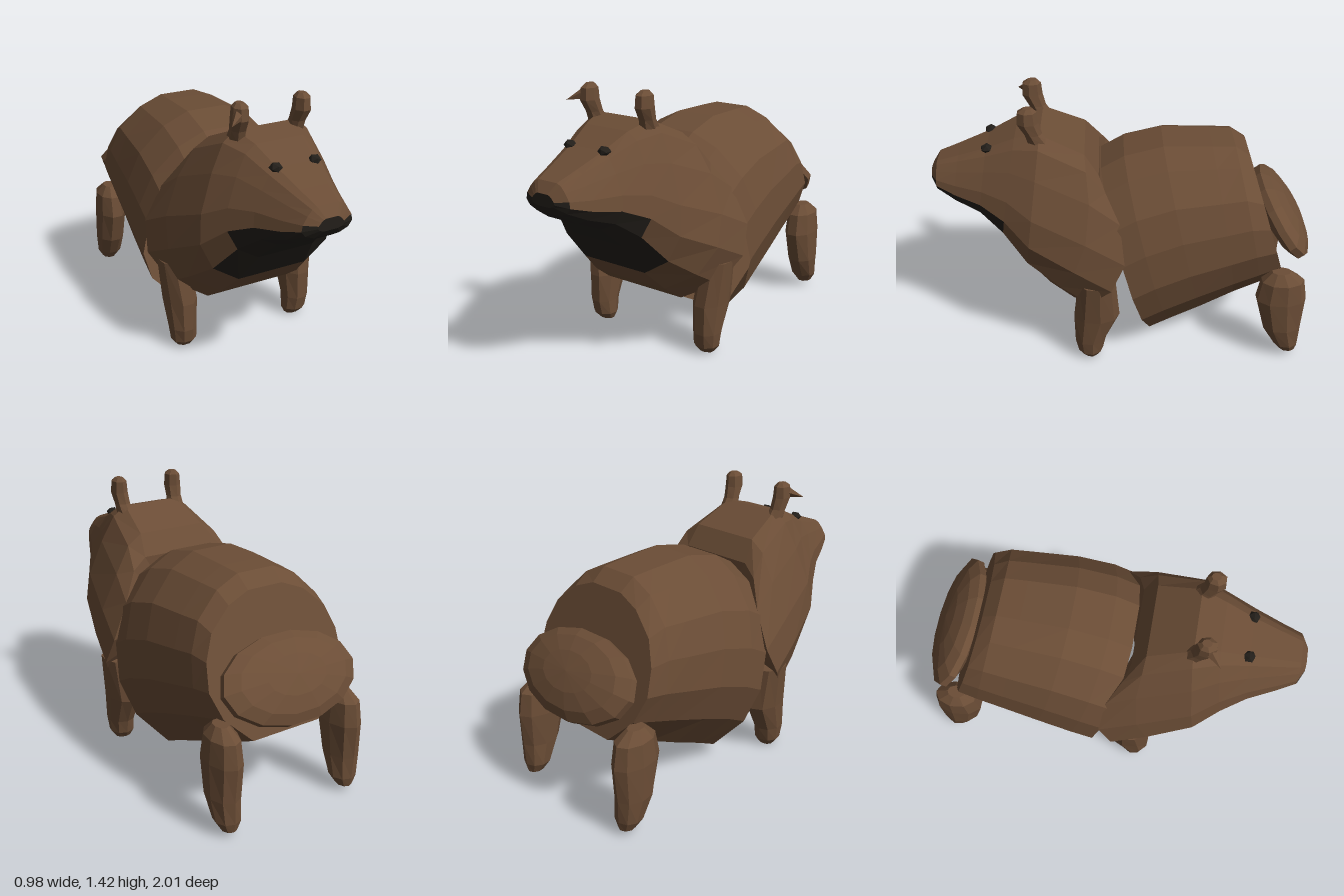
import * as THREE from 'three';

const brown = new THREE.MeshStandardMaterial({ color: 0x6b4d36, side: THREE.DoubleSide });
brown.name = 'brown fur';
const dark = new THREE.MeshStandardMaterial({ color: 0x231f1a, side: THREE.DoubleSide });
dark.name = 'dark muzzle';

function flat(geometry) {
  const g = geometry.index ? geometry.toNonIndexed() : geometry;
  g.computeVertexNormals();
  return g;
}

function addMesh(parent, name, geometry, material) {
  const mesh = new THREE.Mesh(geometry, material);
  mesh.name = name;
  parent.add(mesh);
  return mesh;
}

// Faceted skin over a list of closed loops; keep(i, j) selects the faces
function loft(rings, { start = true, end = true, keep = () => true } = {}) {
  const n = rings[0].length;
  const pos = [];
  const tri = (...pts) => pts.forEach((p) => pos.push(p.x, p.y, p.z));
  const centre = (ring) => ring.reduce((s, p) => s.add(p), new THREE.Vector3()).divideScalar(n);
  for (let i = 0; i < rings.length - 1; i++) {
    for (let j = 0; j < n; j++) {
      if (!keep(i, j)) continue;
      const k = (j + 1) % n;
      const [a, b, c, d] = [rings[i][j], rings[i][k], rings[i + 1][k], rings[i + 1][j]];
      tri(a, b, d);
      tri(b, c, d);
    }
  }
  const first = rings[0], last = rings[rings.length - 1];
  for (let j = 0; j < n; j++) {
    const k = (j + 1) % n;
    if (start) tri(centre(first), first[k], first[j]);
    if (end) tri(centre(last), last[j], last[k]);
  }
  const g = new THREE.BufferGeometry();
  g.setAttribute('position', new THREE.Float32BufferAttribute(pos, 3));
  return flat(g);
}

// Mirrored cross-section, slung between a top and a bottom point
function section(half, [topZ, topY, botZ, botY, w, bulge = 0]) {
  const full = [...half, ...half.slice(1, -1).reverse().map(([t, x]) => [t, -x])];
  return full.map(([t, x]) => new THREE.Vector3(
    x * w,
    THREE.MathUtils.lerp(topY, botY, t),
    THREE.MathUtils.lerp(topZ, botZ, t) - bulge * Math.sin(Math.PI * t)
  ));
}

// Limb from stacked ellipses: [y, centre x, centre z, radius x, radius z]
function limb(rows, sides = 9) {
  return loft(rows.map(([y, cx, cz, rx, rz]) => Array.from({ length: sides }, (_, k) => {
    const a = (k / sides) * Math.PI * 2;
    return new THREE.Vector3(cx + rx * Math.sin(a), y, cz - rz * Math.cos(a));
  })));
}

const mirrorRows = (rows, s) => rows.map(([y, x, ...rest]) => [y, x * s, ...rest]);

export function createModel() {
  const model = new THREE.Group();
  model.name = 'animal';

  // Barrel body, open at the front, closed behind the tail
  const bodyHalf = [[0, 0], [0, 0.25], [0.07, 0.55], [0.22, 0.84], [0.4, 0.97], [0.6, 1], [0.8, 0.86], [1, 0.5], [1, 0]];
  const bodyRings = [
    [0.12, 1.05, -0.14, 0.08, 0.47],
    [0, 1.12, -0.25, 0.14, 0.47],
    [-0.2, 1.17, -0.42, 0.22, 0.455],
    [-0.45, 1.165, -0.6, 0.31, 0.43],
    [-0.57, 1.16, -0.74, 0.37, 0.415],
    [-0.65, 1.1, -0.86, 0.43, 0.395],
  ].map((r) => section(bodyHalf, r));
  addMesh(model, 'body', loft(bodyRings, { start: false }), brown);

  // Head and shoulders, from the snout back to the shoulder rim
  const headHalf = [[0, 0], [0, 0.42], [0.07, 0.6], [0.25, 0.78], [0.5, 0.96], [0.7, 1], [0.88, 0.85], [1, 0.5], [1, 0]];
  const headRings = [
    [1.0, 1.02, 1.0, 0.96, 0.07],
    [0.965, 1.07, 0.97, 0.92, 0.135],
    [0.85, 1.11, 0.88, 0.86, 0.18],
    [0.7, 1.165, 0.75, 0.8, 0.24],
    [0.55, 1.235, 0.64, 0.69, 0.31],
    [0.42, 1.27, 0.52, 0.52, 0.39],
    [0.2, 1.17, 0.4, 0.4, 0.455, 0.1],
    [0.13, 1.06, 0.28, 0.31, 0.49, 0.2],
  ].map((r) => section(headHalf, r));
  const darkFrom = [4, 5, 5, 5, 6, 9, 9];
  const isDark = (i, j) => Math.min(j, 15 - j) >= darkFrom[i];
  const head = new THREE.Group();
  head.name = 'head';
  model.add(head);
  addMesh(head, 'headAndShoulders', loft(headRings, { start: false, keep: (i, j) => !isDark(i, j) }), brown);
  addMesh(head, 'muzzleAndThroat', loft(headRings, { end: false, keep: isDark }), dark);

  // Legs, ears and eyes on both sides
  const frontLeg = [
    [0.52, 0.385, 0.15, 0.08, 0.1], [0.28, 0.355, 0.155, 0.088, 0.125], [0.12, 0.355, 0.19, 0.075, 0.085],
    [0.04, 0.35, 0.19, 0.07, 0.068], [0, 0.345, 0.185, 0.045, 0.035],
  ];
  const hindLeg = [
    [0.555, 0.36, -0.82, 0.035, 0.05], [0.5, 0.36, -0.83, 0.075, 0.115], [0.38, 0.36, -0.83, 0.085, 0.137],
    [0.2, 0.365, -0.85, 0.08, 0.107], [0.08, 0.36, -0.885, 0.07, 0.07], [0.03, 0.36, -0.9, 0.04, 0.045],
  ];
  const ear = [
    [1.42, 0.17, 0.47, 0.02, 0.025], [1.4, 0.17, 0.475, 0.04, 0.05], [1.34, 0.17, 0.475, 0.045, 0.055],
    [1.28, 0.165, 0.45, 0.042, 0.045], [1.22, 0.16, 0.42, 0.045, 0.06],
  ];
  for (const [side, s] of [['left', 1], ['right', -1]]) {
    addMesh(model, `${side}FrontLeg`, limb(mirrorRows(frontLeg, s)), brown);
    addMesh(model, `${side}HindLeg`, limb(mirrorRows(hindLeg, s)), brown);
    addMesh(head, `${side}Ear`, limb(mirrorRows(ear, s), 7), brown);
    const eye = addMesh(head, `${side}Eye`, flat(new THREE.IcosahedronGeometry(0.033, 0)), dark);
    eye.position.set(s * 0.105, 1.165, 0.695);
    eye.scale.y = 0.8;
  }

  // Folded tip of the right ear
  const tip = addMesh(head, 'rightEarTip', flat(new THREE.ConeGeometry(0.035, 0.11, 5)), brown);
  const from = new THREE.Vector3(-0.18, 1.37, 0.49), to = new THREE.Vector3(-0.25, 1.34, 0.55);
  tip.position.copy(from).lerp(to, 0.5);
  tip.quaternion.setFromUnitVectors(new THREE.Vector3(0, 1, 0), to.sub(from).normalize());

  // Broad flat tail against the sloping rump
  const tail = addMesh(model, 'tail', flat(new THREE.SphereGeometry(1, 14, 7)), brown);
  tail.scale.set(0.39, 0.085, 0.225);
  tail.rotation.x = -0.93;
  tail.position.set(0, 0.71, -0.86);

  return model;
}
